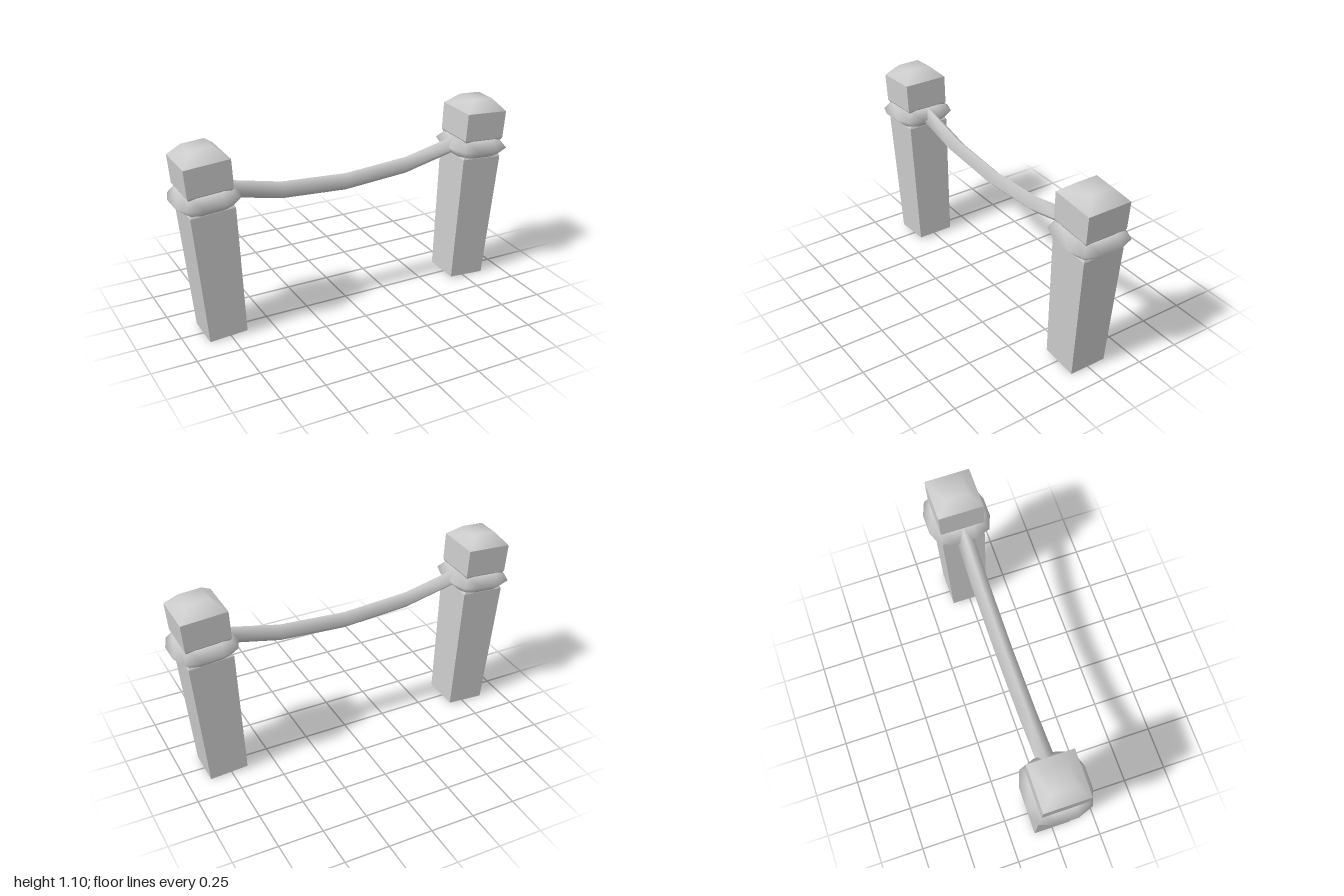
import * as THREE from 'three';

const smooth = new THREE.MeshStandardMaterial({ color: 0xcccccc, side: THREE.DoubleSide });
const flat = new THREE.MeshStandardMaterial({ color: 0xcccccc, side: THREE.DoubleSide, flatShading: true });

// Skin a list of equal-length cross-sections; optionally join last to first or cap the end quad
function loft(sections, { closed = false, capEnd = false } = {}) {
  const n = sections[0].length, count = sections.length, index = [];
  for (let i = 0; i < (closed ? count : count - 1); i++) {
    const lo = i * n, hi = ((i + 1) % count) * n;
    for (let j = 0; j < n; j++) {
      const k = (j + 1) % n;
      index.push(lo + j, lo + k, hi + k, lo + j, hi + k, hi + j);
    }
  }
  const e = (count - 1) * n;
  if (capEnd) index.push(e, e + 1, e + 2, e, e + 2, e + 3);
  const geometry = new THREE.BufferGeometry();
  geometry.setAttribute('position', new THREE.Float32BufferAttribute(sections.flat(2), 3));
  geometry.setIndex(index);
  geometry.computeVertexNormals();
  return geometry;
}

// Square cross-section of half-width h at height y
const square = ([y, h]) => [[h, y, h], [h, y, -h], [-h, y, -h], [-h, y, h]];

function part(name, geometry, material) {
  const mesh = new THREE.Mesh(geometry, material);
  mesh.name = name;
  return mesh;
}

// Rope loop: diamond section swept around a rounded square
function loopGeometry() {
  const y = 0.808, r = 0.052, sections = [];
  const side = [[0.126, 0.06], [0.126, -0.06], [0.11, -0.11]];
  for (let q = 0; q < 4; q++) {
    for (const [px, pz] of side) {
      const p = new THREE.Vector3(px, 0, pz).applyAxisAngle(new THREE.Vector3(0, 1, 0), q * Math.PI / 2);
      // Offsets point straight out of each side, diagonally at the corners
      const out = new THREE.Vector3(1, 0, Math.abs(pz) > 0.1 ? -1 : 0).normalize()
        .applyAxisAngle(new THREE.Vector3(0, 1, 0), q * Math.PI / 2).multiplyScalar(r);
      sections.push([
        [p.x + out.x, y, p.z + out.z],
        [p.x, y - r, p.z],
        [p.x - out.x, y, p.z - out.z],
        [p.x, y + r, p.z],
      ]);
    }
  }
  return loft(sections, { closed: true });
}

// Sagging rope with a diamond section
function ropeGeometry() {
  const r = 0.049;
  const path = [[-0.7, 0.825], [-0.385, 0.754], [0, 0.728], [0.385, 0.754], [0.7, 0.825]];
  return loft(path.map(([x, y]) => [[x, y + r, 0], [x, y, r], [x, y - r, 0], [x, y, -r]]));
}

export function createModel() {
  const model = new THREE.Group();
  model.name = 'ropeFence';

  // Tapered shaft, open underneath, with a shallow groove for the loop
  const shaft = loft([
    [0, 0.108], [0.752, 0.124], [0.77, 0.115], [0.845, 0.115], [0.865, 0.126], [1.024, 0.128],
  ].map(square));
  const cap = loft([[1.024, 0.128], [1.088, 0.064]].map(square), { capEnd: true });
  const loop = loopGeometry();

  // Two posts leaning outwards
  for (const s of [-1, 1]) {
    const post = new THREE.Group();
    post.name = s > 0 ? 'leftPost' : 'rightPost';
    post.add(part('shaft', shaft, flat), part('cap', cap, smooth), part('ropeLoop', loop, smooth));
    post.position.set(s * 0.766, 0.008, 0);
    post.rotation.z = -s * 0.07;
    model.add(post);
  }

  model.add(part('rope', ropeGeometry(), smooth));
  return model;
}
